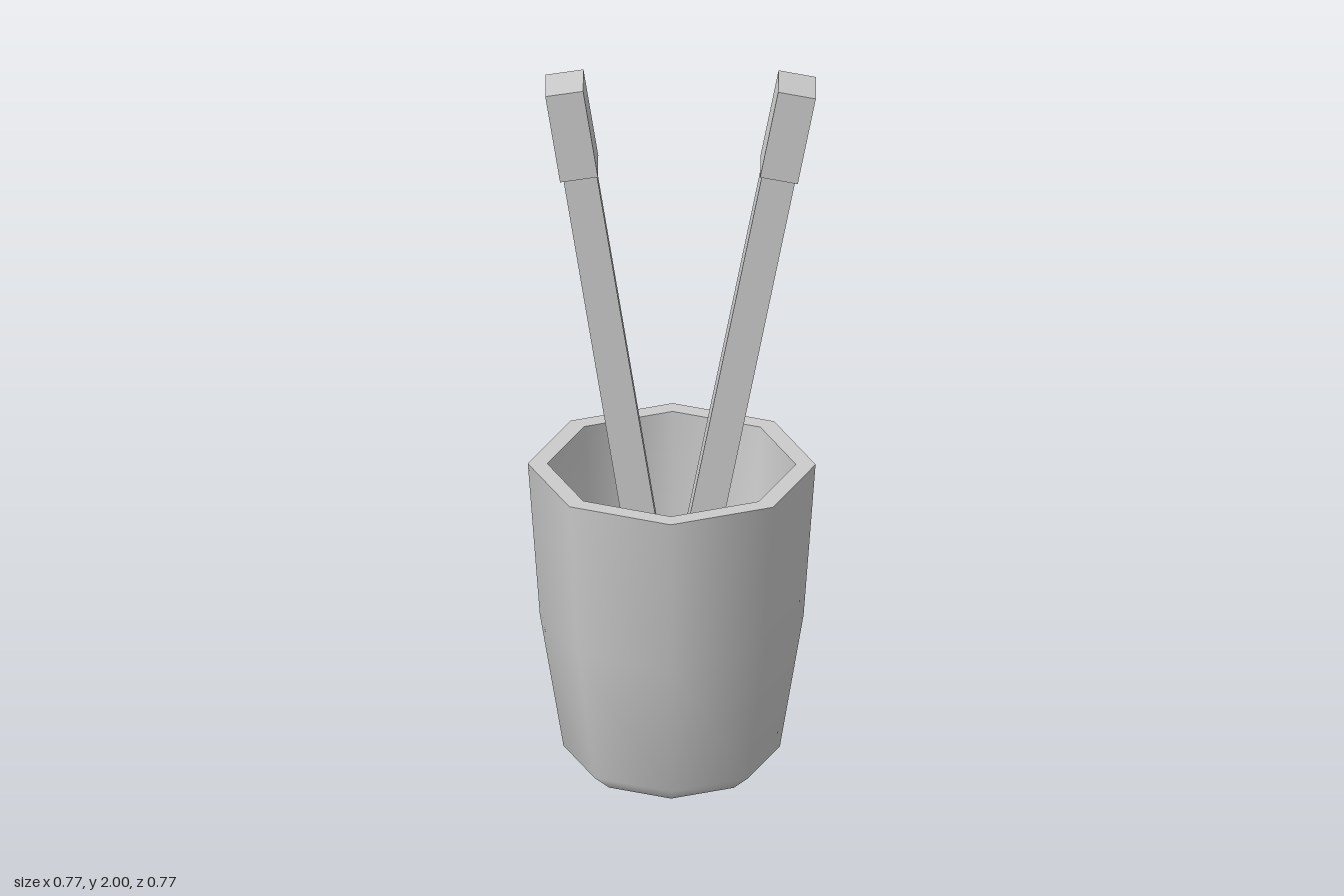
import * as THREE from 'three';

const grey = new THREE.MeshStandardMaterial({ color: 0xcccccc });
grey.name = 'light grey';

// Octagonal turned surface from [radius, height] points
function turned(name, points) {
  const profile = points.map(([r, y]) => new THREE.Vector2(r, y));
  const mesh = new THREE.Mesh(new THREE.LatheGeometry(profile, 8), grey);
  mesh.name = name;
  return mesh;
}

function box(name, w, h, d, y) {
  const mesh = new THREE.Mesh(new THREE.BoxGeometry(w, h, d), grey);
  mesh.name = name;
  mesh.position.y = y;
  return mesh;
}

// Leaning brush, placed by the centre of its head
function brush(name, x, y, lean, handleDepth) {
  const group = new THREE.Group();
  group.name = name;
  const headHeight = 0.255, handleLength = 1.46;
  group.add(box('head', 0.102, headHeight, 0.138, 0));
  group.add(box('handle', 0.09, handleLength, handleDepth, -(headHeight + handleLength) / 2));
  group.position.set(x, y, 0);
  group.rotation.z = lean;
  return group;
}

export function createModel() {
  const model = new THREE.Group();
  model.name = 'brushes in cup';

  // Cup: separate surfaces keep the rim and base edges sharp
  const cup = new THREE.Group();
  cup.name = 'cup';
  cup.add(
    turned('base', [[0, 0], [0.235, 0]]),
    turned('outerWall', [[0.235, 0], [0.288, 0.045], [0.351, 0.43], [0.383, 0.873]]),
    turned('rim', [[0.383, 0.873], [0.331, 0.873]]),
    turned('innerWall', [[0.331, 0.873], [0.303, 0.47], [0.262, 0.3]]),
    turned('floor', [[0.262, 0.3], [0, 0.3]])
  );
  model.add(cup);

  // Two brushes crossing inside the cup
  model.add(brush('rightBrush', -0.266, 1.865, 0.155, 0.04));
  model.add(brush('leftBrush', 0.31, 1.863, -0.19, 0.092));
  return model;
}
